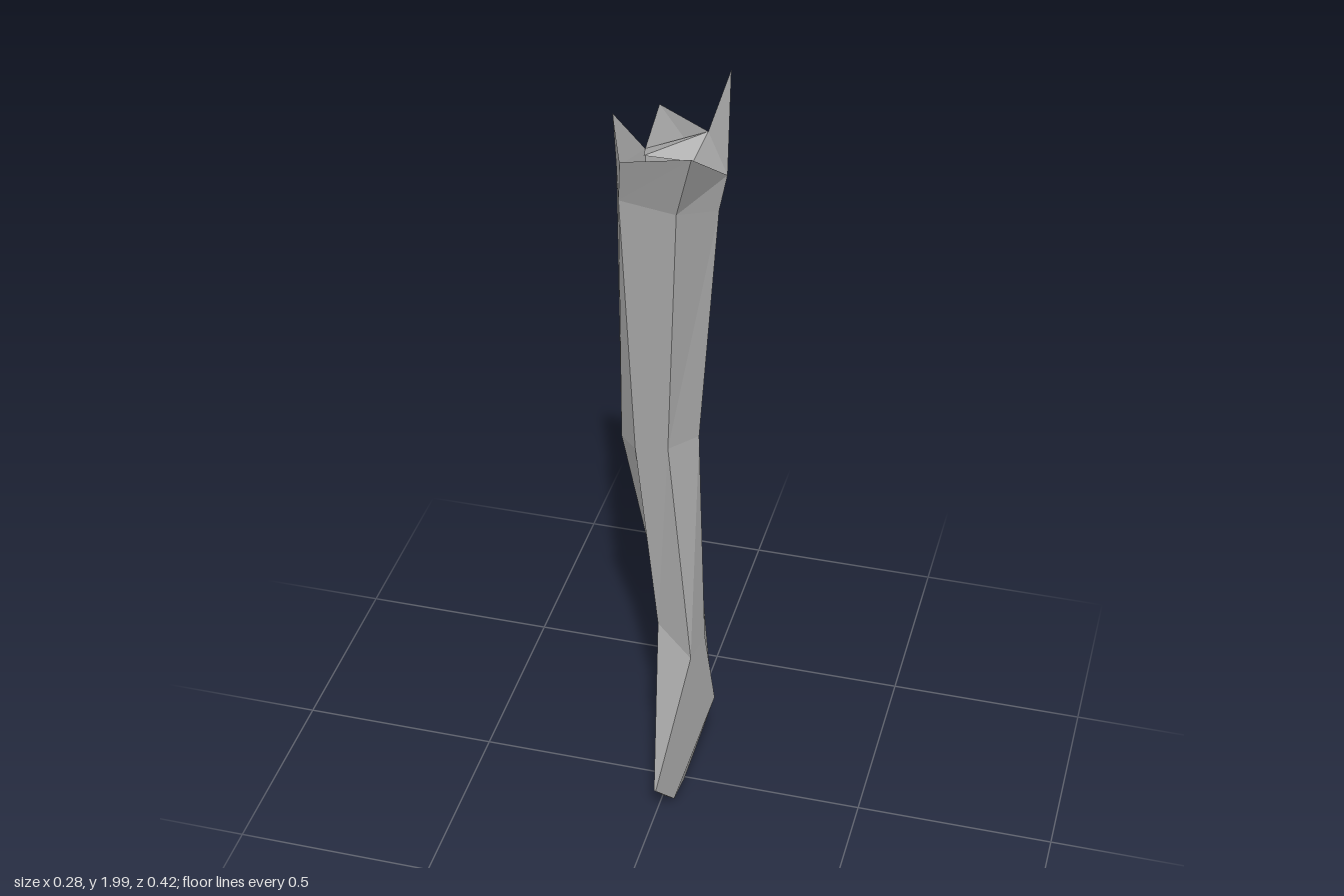
import * as THREE from 'three';

// Named corners shared by neighbouring parts
const P = {
  // shoulder ring
  a1: [-0.09, 1.79, 0.115], b1: [0.05, 1.79, 0.145], c1: [0.12, 1.75, 0.035],
  d1: [0.06, 1.77, -0.1], e1: [-0.09, 1.8, -0.11], f1: [-0.13, 1.8, -0.01],
  // elbow ring
  a2: [-0.065, 1.1, 0.085], b2: [0.02, 1.13, 0.105], c2: [0.078, 1.13, 0.035],
  d2: [0.025, 1.12, -0.05], e2: [-0.07, 1.1, -0.05], f2: [-0.12, 1.08, 0.01],
  // wrist ring
  a3: [-0.015, 0.57, 0.07], b3: [0.077, 0.5, 0.1], c3: [0.095, 0.52, 0.03],
  d3: [0.075, 0.56, -0.04], e3: [0.02, 0.575, -0.045], f3: [-0.02, 0.57, 0],
  // torn cuff
  flapL: [-0.075, 1.91, 0.155], flapR: [0.1, 1.97, 0.21], rimC: [0.137, 1.84, 0.03],
  rimD: [0.06, 1.87, -0.1], rimE: [-0.06, 1.91, -0.125], rimF: [-0.14, 1.93, -0.02],
  spike: [0.097, 2, -0.16], foldC: [0.08, 1.79, 0.03], foldD: [0.035, 1.81, -0.06], foldE: [-0.08, 1.81, -0.06],
  // palm and fingers
  knuckle: [0.115, 0.3, 0], palm: [0.02, 0.25, 0], back: [0.08, 0.32, -0.085], web: [0, 0.28, -0.06],
  t1: [0.038, 0.01, 0.01], t2: [0.04, 0.04, 0.12], t3: [0.01, 0.12, 0.19],
  u1: [0.02, 0.01, 0.01], u2: [0.012, 0.045, 0.12], u3: [0.005, 0.12, 0.188],
  s1: [0.038, 0.01, -0.04], s2: [0.035, 0.015, -0.1], v1: [0.02, 0.01, -0.04], v2: [0.02, 0.015, -0.1],
  // thumb
  thumbRoot: [-0.045, 0.35, -0.12], thumbTop: [-0.045, 0.325, -0.205],
  thumbSide: [0.02, 0.31, -0.165], thumbTip: [-0.06, 0.19, -0.21],
};

// Makes a faceted mesh from polygons written as corner names
function facets(name, faces, material) {
  const pos = [];
  for (const face of faces) {
    const c = face.split(' ').map((k) => P[k]);
    for (let i = 1; i < c.length - 1; i++) pos.push(...c[0], ...c[i], ...c[i + 1]);
  }
  const geo = new THREE.BufferGeometry();
  geo.setAttribute('position', new THREE.Float32BufferAttribute(pos, 3));
  geo.computeVertexNormals();
  const mesh = new THREE.Mesh(geo, material);
  mesh.name = name;
  return mesh;
}

// Six-sided open tube between two rings
function tube(name, upper, lower, material) {
  const faces = [...'abcdef'].map((k, i, all) => {
    const n = all[(i + 1) % 6];
    return `${k}${lower} ${n}${lower} ${n}${upper} ${k}${upper}`;
  });
  return facets(name, faces, material);
}

export function createModel() {
  const group = new THREE.Group();
  group.name = 'arm';
  const grey = new THREE.MeshStandardMaterial({ color: 0xaaaaaa, side: THREE.DoubleSide, flatShading: true });
  grey.name = 'grey';

  group.add(tube('upperArm', 1, 2, grey), tube('forearm', 2, 3, grey));

  // Ragged end of the sleeve with flaps, a spike and an inward fold
  group.add(facets('tornCuff', [
    'a1 b1 flapR flapL', 'b1 c1 rimC flapR', 'c1 d1 rimD rimC', 'd1 e1 rimE rimD',
    'e1 f1 rimF', 'f1 a1 flapL rimF', 'rimC rimD spike',
    'rimC rimD foldD foldC', 'rimD e1 foldE foldD',
  ], grey));

  // Palm from wrist to knuckles
  group.add(facets('palm', [
    'b3 knuckle c3', 'c3 knuckle back d3', 'a3 palm u3 b3', 'f3 web palm a3',
    'web back knuckle palm',
  ], grey));

  // Three fingers held together
  group.add(facets('joinedFingers', [
    'knuckle b3 t3 t2 t1', 'palm u1 u2 u3', 'b3 u3 t3',
    't1 t2 u2 u1', 't2 t3 u3 u2', 'knuckle t1 u1 palm',
  ], grey));

  // Separate finger beside the thumb
  group.add(facets('foreFinger', [
    'knuckle s1 s2 back', 'palm web v2 v1', 'knuckle palm v1 s1',
    'back s2 v2 web', 's1 v1 v2 s2',
  ], grey));

  // Thumb pointing away behind the hand
  group.add(facets('thumb', [
    'd3 back thumbSide', 'd3 thumbSide thumbTop e3', 'e3 thumbTop thumbRoot f3',
    'thumbRoot thumbTop thumbTip', 'f3 thumbRoot web', 'thumbRoot thumbTip web',
    'web thumbTip thumbSide', 'thumbTop thumbSide thumbTip', 'web thumbSide back',
  ], grey));

  return group;
}
